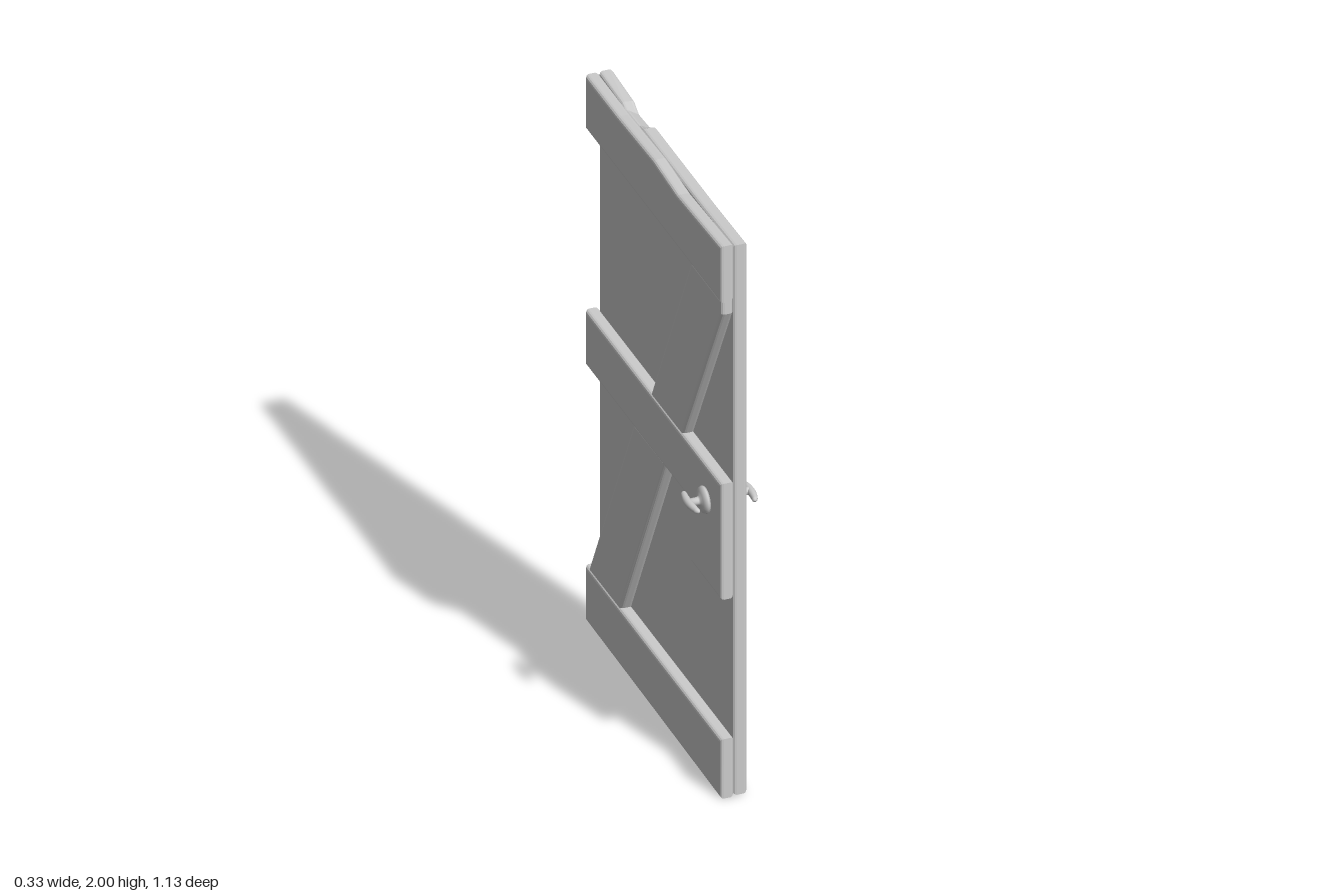
import * as THREE from 'three';

const grey = new THREE.MeshStandardMaterial({ color: 0xcccccc });
grey.name = 'paintedGrey';

// Door-local frame: z runs across the width (latch edge at +z), x through the thickness.
const Z0 = -0.572, Z1 = 0.563;       // hinge edge, latch edge
const BACK = -0.023, MID = 0.022, FACE = 0.067;

// Bevelled board from a [z, y] outline, filling x0..x1
function board(name, outline, x0, x1, bevel = 0.012) {
  const shape = new THREE.Shape(outline.map(([z, y]) => new THREE.Vector2(z, y)));
  const geo = new THREE.ExtrudeGeometry(shape, {
    depth: x1 - x0 - 2 * bevel, bevelEnabled: true, bevelThickness: bevel,
    bevelSize: bevel, bevelOffset: -bevel, bevelSegments: 3,
  });
  geo.rotateY(-Math.PI / 2);
  geo.translate(x1 - bevel, 0, 0);
  const mesh = new THREE.Mesh(geo, grey);
  mesh.name = name;
  return mesh;
}

// Linear interpolation through [z, value] pairs sorted by z
function along(pairs, z) {
  for (let i = 1; i < pairs.length; i++) {
    const [a, va] = pairs[i - 1], [b, vb] = pairs[i];
    if (z <= b) return va + (vb - va) * THREE.MathUtils.clamp((z - a) / (b - a), 0, 1);
  }
  return pairs[pairs.length - 1][1];
}

// Main slab, with worn lower and upper edges on the smooth side
function makeSlab() {
  const bottomZ = [-0.4, -0.15, -0.02, 0.01, 0.2, 0.4];
  const topZ = [0.3, 0, -0.2, -0.24, -0.34, -0.38];
  const slab = board('doorSlab', [
    [Z0 + 0.006, 0.012], ...bottomZ.map((z) => [z, 0.012]), [Z1, 0.004],
    [Z1, 1.995], ...topZ.map((z) => [z, 1.99]), [Z0 + 0.006, 1.995],
  ], MID - 0.002, FACE);
  const lowWear = [[-0.57, 0.035], [-0.4, 0.02], [-0.15, 0], [-0.02, 0.015], [0.01, 0.04], [0.2, 0.015], [0.4, 0.006], [0.56, 0]];
  const topWear = [[-0.39, 0], [-0.34, 0.03], [-0.24, 0.025], [-0.2, 0]];
  const p = slab.geometry.attributes.position;
  for (let i = 0; i < p.count; i++) {
    const y = p.getY(i), z = p.getZ(i);
    const amount = THREE.MathUtils.clamp((p.getX(i) - MID) / (FACE - MID) + 0.2, 0, 1);
    if (y < 0.1) p.setY(i, y + amount * along(lowWear, z));
    if (y > 1.9) p.setY(i, y - amount * along(topWear, z));
  }
  slab.geometry.computeVertexNormals();
  return slab;
}

// Rosette, stem and bowed grip, pointing along +x
function makeHandle(name) {
  const handle = new THREE.Group();
  handle.name = name;
  const profile = [[0, 0], [0.042, 0], [0.045, 0.008], [0.042, 0.016], [0.03, 0.022],
    [0.017, 0.025], [0.013, 0.03], [0.013, 0.055], [0, 0.055]];
  const knob = new THREE.LatheGeometry(profile.map(([r, h]) => new THREE.Vector2(r, h)), 24);
  knob.rotateZ(-Math.PI / 2);
  const base = new THREE.Mesh(knob, grey);
  base.name = 'rosetteAndStem';

  const grip = new THREE.CapsuleGeometry(0.012, 0.108, 6, 16, 10);
  grip.rotateX(Math.PI / 2);
  const p = grip.attributes.position;
  for (let i = 0; i < p.count; i++) {
    const z = p.getZ(i), taper = 1.1 - 0.4 * (z / 0.066) ** 2;
    p.setXYZ(i, p.getX(i) * taper - 2 * z * z, p.getY(i) * taper, z);
  }
  grip.computeVertexNormals();
  const bar = new THREE.Mesh(grip, grey);
  bar.name = 'grip';
  bar.position.x = 0.06;
  handle.add(base, bar);
  return handle;
}

export function createModel() {
  const model = new THREE.Group();
  model.name = 'door';
  const leaf = new THREE.Group();
  leaf.name = 'doorLeaf';
  leaf.rotation.y = THREE.MathUtils.degToRad(-10);
  model.add(leaf);

  leaf.add(makeSlab());

  // Horizontal rails; the middle one widens into a lock plate
  leaf.add(
    board('bottomRail', [[Z0, 0.015], [0, 0.008], [Z1, 0], [Z1, 0.215], [Z0, 0.215]], BACK, MID),
    board('topRail', [[Z0, 1.795], [Z1, 1.795], [Z1, 2], [0.2, 1.985], [0, 2], [-0.3, 1.99], [Z0, 1.99]], BACK, MID),
    board('middleRail', [[Z0, 0.94], [0.31, 0.94], [0.31, 0.72], [Z1, 0.72], [Z1, 1.14], [Z0, 1.14]], BACK, MID),
  );

  // Diagonal braces between the rails
  leaf.add(
    board('lowerBrace', [[-0.555, 0.205], [-0.29, 0.205], [0.09, 0.95], [-0.175, 0.95]], BACK + 0.004, MID),
    board('upperBrace', [[-0.035, 1.13], [0.23, 1.13], [0.56, 1.75], [0.56, 1.805], [0.305, 1.805]], BACK + 0.004, MID),
  );

  // Handles on both sides
  const outer = makeHandle('outerHandle');
  outer.position.set(FACE - 0.002, 1.018, 0.44);
  const inner = makeHandle('innerHandle');
  inner.position.set(BACK + 0.002, 1.018, 0.44);
  inner.rotation.y = Math.PI;
  leaf.add(outer, inner);

  return model;
}
